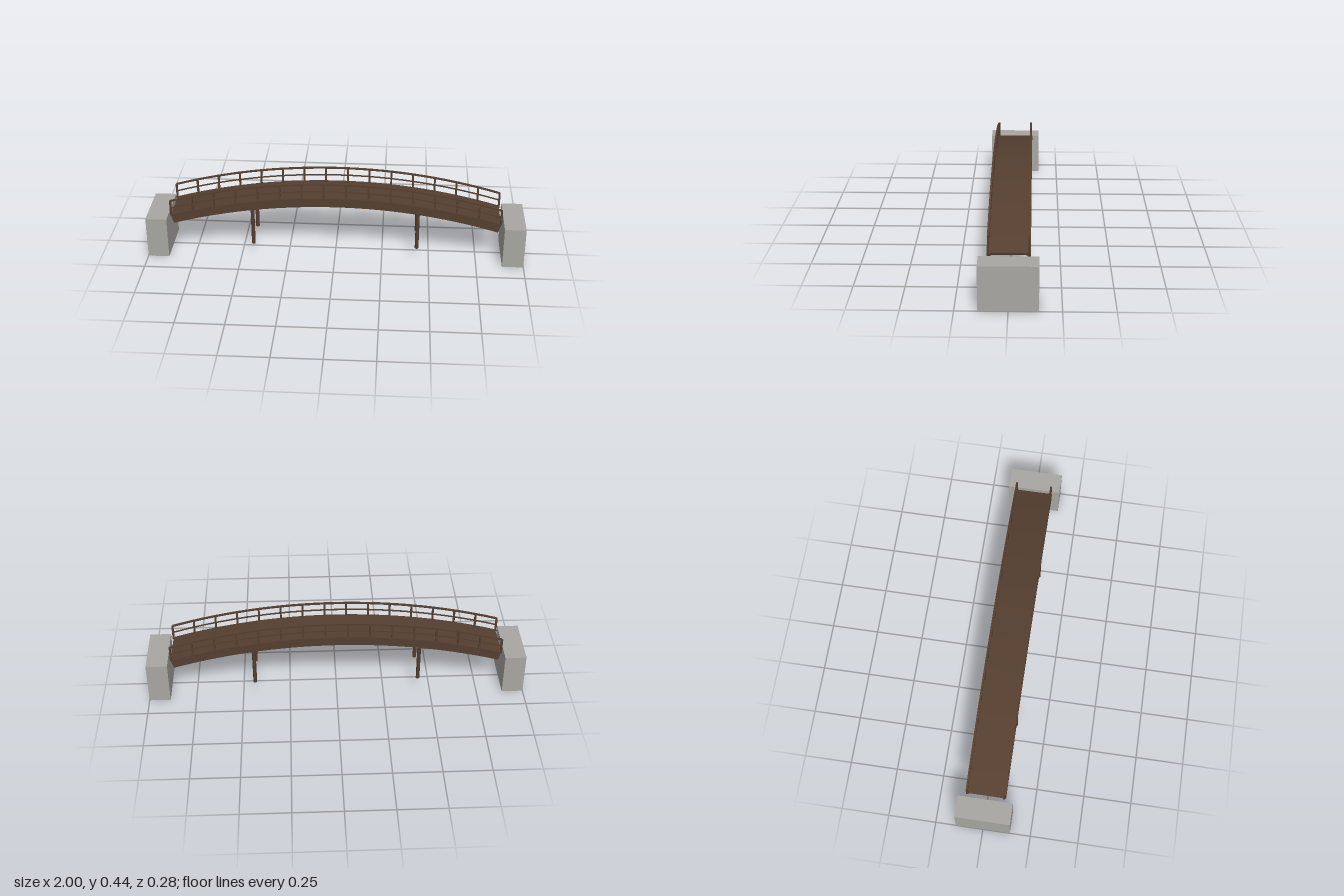
import * as THREE from 'three';

const HALF = 0.87;      // half span of the deck
const CROWN = 0.359;    // height of the deck surface at mid span
const RISE = 0.125;     // rise of the arch from the ends to the middle
const R = (HALF * HALF + RISE * RISE) / (2 * RISE);
const SEGMENTS = 30;
const BAYS = 15;

// Height of the deck surface at x
const deckY = (x) => CROWN - R + Math.sqrt(R * R - x * x);

export function createModel() {
  const wood = new THREE.MeshStandardMaterial({ color: 0x553f30 });
  wood.name = 'dark wood';
  const stone = new THREE.MeshStandardMaterial({ color: 0xa8a7a2, side: THREE.DoubleSide });
  stone.name = 'grey stone';

  const bridge = new THREE.Group();
  bridge.name = 'archedFootbridge';

  const add = (name, geometry, material, x = 0, y = 0, z = 0) => {
    const mesh = new THREE.Mesh(geometry, material);
    mesh.name = name;
    mesh.position.set(x, y, z);
    bridge.add(mesh);
    return mesh;
  };

  // Curved bar following the deck: lifted by `lift`, `thick` deep below that, `width` across
  const arcBar = (lift, thick, width) => {
    const top = [], bottom = [];
    const sweep = Math.asin(HALF / R);
    for (let i = 0; i <= SEGMENTS; i++) {
      const a = sweep * (2 * i / SEGMENTS - 1);
      const x = R * Math.sin(a), y = deckY(x) + lift;
      top.push(new THREE.Vector2(x, y));
      bottom.push(new THREE.Vector2(x - thick * Math.sin(a), y - thick * Math.cos(a)));
    }
    const shape = new THREE.Shape([...bottom, ...top.reverse()]);
    const geometry = new THREE.ExtrudeGeometry(shape, { depth: width, bevelEnabled: false });
    geometry.translate(0, 0, -width / 2);
    return geometry;
  };

  // Plank deck, one flat facet per plank
  add('deck', arcBar(0, 0.012, 0.206), wood);

  for (const side of [1, -1]) {
    const label = side > 0 ? 'front' : 'back';

    // Side beam under the deck edge
    add(label + 'Beam', arcBar(-0.004, 0.046, 0.016), wood, 0, 0, side * 0.0945);

    // Handrail and middle rail
    add(label + 'Handrail', arcBar(0.084, 0.008, 0.01), wood, 0, 0, side * 0.095);
    add(label + 'MiddleRail', arcBar(0.041, 0.006, 0.006), wood, 0, 0, side * 0.095);

    // Upright railing posts
    for (let i = 0; i <= BAYS; i++) {
      const x = HALF * (2 * i / BAYS - 1);
      add(label + 'RailPost', new THREE.BoxGeometry(0.01, 0.085, 0.01), wood,
        x, deckY(x) + 0.038, side * 0.095);
    }

    // Round support piles
    for (const x of [-0.435, 0.435]) {
      add(label + 'Pile', new THREE.CylinderGeometry(0.01, 0.01, 0.22, 8), wood,
        x, 0.18, side * 0.092);
    }
  }

  // Stone abutments, hollow and open underneath
  for (const end of [1, -1]) {
    const block = new THREE.BoxGeometry(0.112, 0.226, 0.284);
    const index = Array.from(block.index.array);
    index.splice(18, 6);  // drop the bottom face
    block.setIndex(index);
    block.clearGroups();
    add(end > 0 ? 'leftAbutment' : 'rightAbutment', block, stone, end * 0.944, 0.113, 0);
  }

  return bridge;
}
